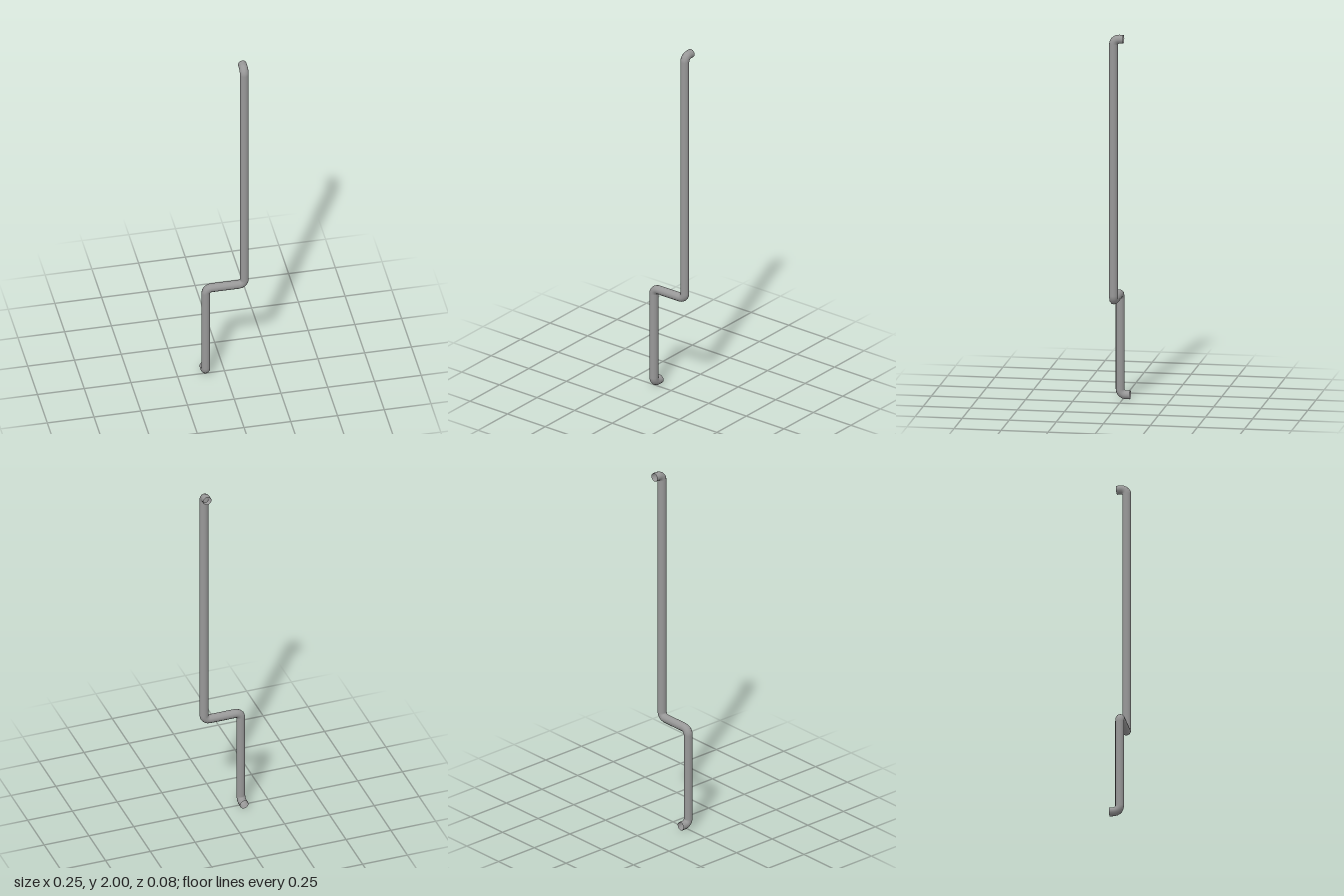
import * as THREE from 'three';

const RADIUS = 0.0235, BEND = 0.03, BEND_STEPS = 5, SIDES = 12;

// Path of straight runs joined by circular bends, sampled only where it turns
class BentPath extends THREE.Curve {
  constructor(corners) {
    super();
    const pts = corners.map((c) => new THREE.Vector3(...c));
    const dir = (i) => pts[i + 1].clone().sub(pts[i]).normalize();
    const last = pts.length - 1;
    this.samples = [{ p: pts[0], t: dir(0) }];
    for (let i = 1; i < last; i++) {
      const a = dir(i - 1), b = dir(i);
      const centre = pts[i].clone().addScaledVector(a, -BEND).addScaledVector(b, BEND);
      for (let k = 0; k <= BEND_STEPS; k++) {
        const s = Math.sin((k / BEND_STEPS) * Math.PI / 2);
        const c = Math.cos((k / BEND_STEPS) * Math.PI / 2);
        this.samples.push({
          p: centre.clone().addScaledVector(b, -BEND * c).addScaledVector(a, BEND * s),
          t: a.clone().multiplyScalar(c).addScaledVector(b, s).normalize(),
        });
      }
    }
    this.samples.push({ p: pts[last], t: dir(last - 1) });
  }
  get steps() { return this.samples.length - 1; }
  at(u) { return this.samples[Math.round(u * this.steps)]; }
  getPointAt(u, target = new THREE.Vector3()) { return target.copy(this.at(u).p); }
  getTangentAt(u, target = new THREE.Vector3()) { return target.copy(this.at(u).t); }
}

export function createModel() {
  const group = new THREE.Group();
  group.name = 'bentPipe';

  const x = 0.103, front = 0.015, back = -0.0385;
  const bottom = RADIUS, jog = 0.57, top = 2 - RADIUS;

  // One open pipe: lower wall end, riser, sideways jog, long riser, upper wall end
  const path = new BentPath([
    [-x, bottom, back],
    [-x, bottom, front],
    [-x, jog, front],
    [x, jog, front],
    [x, top, front],
    [x, top, back],
  ]);
  const pipe = new THREE.Mesh(
    new THREE.TubeGeometry(path, path.steps, RADIUS, SIDES, false),
    new THREE.MeshStandardMaterial({ color: 0x999999, side: THREE.DoubleSide })
  );
  pipe.name = 'pipe';
  group.add(pipe);
  return group;
}
